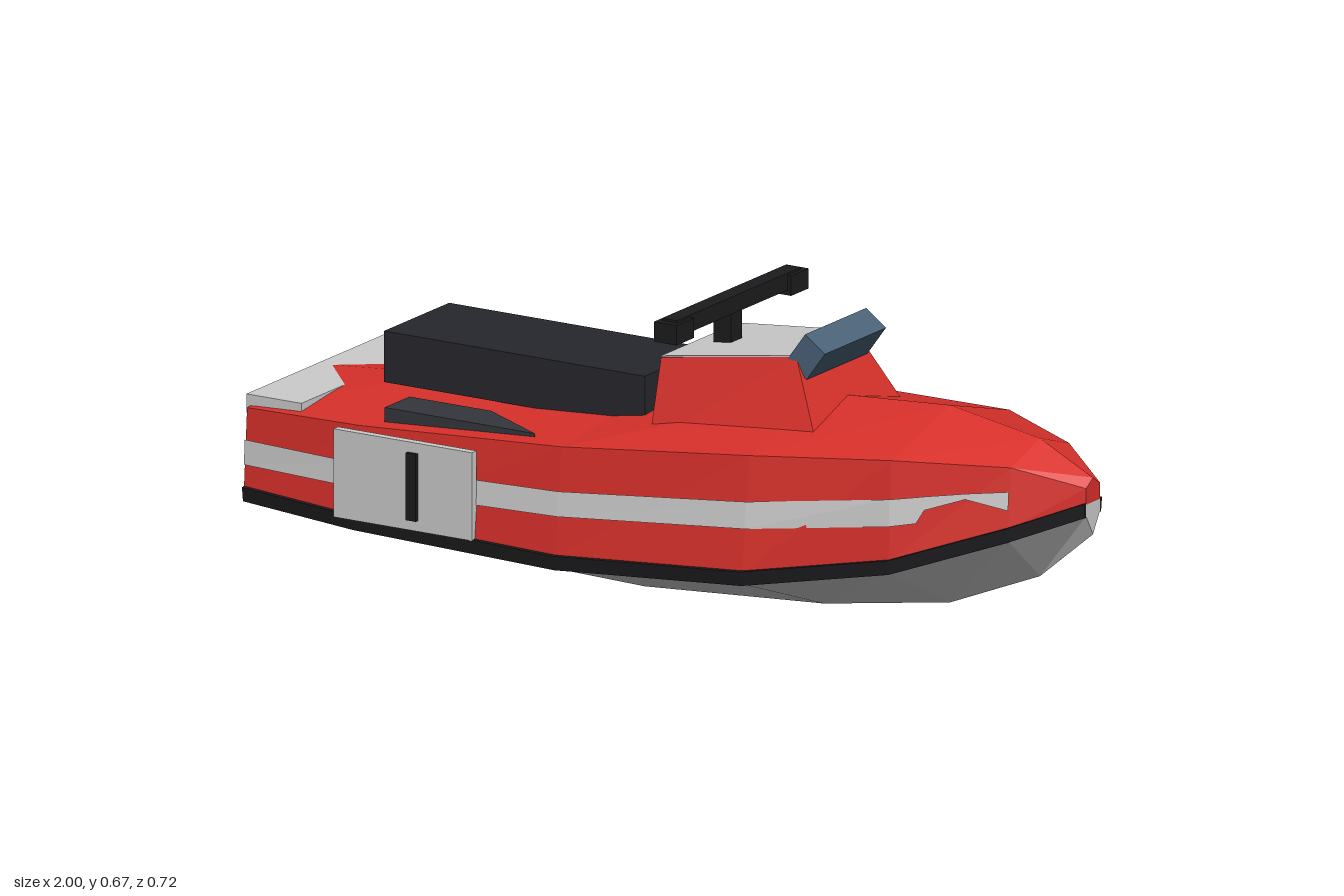
import * as THREE from 'three';

const paint = (color, extra = {}) => new THREE.MeshStandardMaterial({ color, flatShading: true, ...extra });
const GREY = paint(0xcccccc), RED = paint(0xd8302a), BLACK = paint(0x1c1c1e);
const SEAT = paint(0x26272d), GLASS = paint(0x4a6278), PATCH = paint(0x34363c);
const STRIPE = paint(0xcccccc, { side: THREE.DoubleSide });

// hull stations: x, keel y, chine y, chine half width, shoulder y, shoulder half width, deck ridge y
const STATIONS = [
  [-0.89, 0.06, 0.14, 0.305, 0.335, 0.293, 0.358],
  [-0.6, 0.025, 0.13, 0.337, 0.346, 0.315, 0.383],
  [-0.1, 0.0, 0.122, 0.347, 0.378, 0.322, 0.41],
  [0.34, 0.03, 0.148, 0.317, 0.418, 0.288, 0.485],
  [0.65, 0.08, 0.2, 0.238, 0.44, 0.228, 0.505],
  [0.87, 0.17, 0.275, 0.124, 0.43, 0.112, 0.467],
  [1.0, 0.28, 0.325, 0.027, 0.385, 0.027, 0.402],
];

// skin over rings of [x, y, z], each running clockwise as seen from +x
function loft(rings, closed = true) {
  const pos = [];
  const tri = (a, b, c) => pos.push(...a, ...b, ...c);
  const n = rings[0].length;
  for (let i = 0; i < rings.length - 1; i++) {
    for (let j = 0; j < (closed ? n : n - 1); j++) {
      const k = (j + 1) % n;
      const a = rings[i][j], b = rings[i][k], c = rings[i + 1][k], d = rings[i + 1][j];
      tri(a, d, c);
      tri(a, c, b);
    }
  }
  if (closed) {
    const s = rings[0], e = rings[rings.length - 1];
    for (let j = 1; j < n - 1; j++) {
      tri(s[0], s[j], s[j + 1]);
      tri(e[0], e[j + 1], e[j]);
    }
  }
  const g = new THREE.BufferGeometry();
  g.setAttribute('position', new THREE.Float32BufferAttribute(pos, 3));
  g.computeVertexNormals();
  return g;
}

// mirror rings across the centre plane, keeping their winding
const mirrored = (rings, s) =>
  s > 0 ? rings : rings.map(r => r.map(([x, y, z]) => [x, y, -z]).reverse());

// half width of the topside at a given x and height
function sideZ(x, y) {
  let i = 0;
  while (i < STATIONS.length - 2 && x > STATIONS[i + 1][0]) i++;
  const A = STATIONS[i], B = STATIONS[i + 1], t = (x - A[0]) / (B[0] - A[0]);
  const [cy, cz, sy, sz] = [2, 3, 4, 5].map(k => A[k] + (B[k] - A[k]) * t);
  return cz + (sz - cz) * (y - cy) / (sy - cy);
}

export function createModel() {
  const model = new THREE.Group();
  const add = (name, geo, mat, x = 0, y = 0, z = 0) => {
    const m = new THREE.Mesh(geo, mat);
    m.name = name;
    m.position.set(x, y, z);
    model.add(m);
    return m;
  };
  const box = (name, mat, x0, x1, y0, y1, z0, z1) =>
    add(name, new THREE.BoxGeometry(x1 - x0, y1 - y0, z1 - z0), mat, (x0 + x1) / 2, (y0 + y1) / 2, (z0 + z1) / 2);

  // V-shaped bottom and red upper hull with ridged deck
  add('lowerHull', loft(STATIONS.map(([x, ky, cy, cz]) =>
    [[x, ky, 0], [x, cy, cz], [x, cy + 0.025, cz], [x, cy + 0.025, -cz], [x, cy, -cz]])), GREY);
  add('upperHull', loft(STATIONS.map(([x, , cy, cz, sy, sz, dy]) =>
    [[x, cy + 0.025, cz], [x, sy, sz], [x, dy, 0], [x, sy, -sz], [x, cy + 0.025, -cz]])), RED);

  // stripe edges along the topside: x, bottom y, top y
  const plain = [[-0.89, 0.215, 0.268], [-0.6, 0.216, 0.268], [-0.1, 0.232, 0.285], [0.34, 0.265, 0.322], [0.65, 0.3, 0.358]];
  const notched = [[0.7, 0.308, 0.364], [0.715, 0.337, 0.366], [0.79, 0.362, 0.374], [0.87, 0.34, 0.38]];

  for (const s of [1, -1]) {
    const side = s > 0 ? 'left' : 'right';
    // rub rail along the chine
    add(side + 'RubRail', loft(mirrored(STATIONS.map(([x, , cy, cz]) =>
      [[x, cy - 0.003, cz + 0.004], [x, cy + 0.028, cz + 0.008], [x, cy + 0.03, cz - 0.012], [x, cy - 0.003, cz - 0.012]]), s)), BLACK);
    // side stripe, notched near the bow on one side only
    const edges = [...plain, ...(s > 0 ? notched : [[0.87, 0.34, 0.38]])];
    add(side + 'Stripe', loft(mirrored(edges.map(([x, lo, hi]) =>
      [lo, hi].map(y => [x, y, sideZ(x, y) + 0.005])), s), false), STRIPE);
    // side panel with its upright handle
    box(side + 'SidePanel', GREY, -0.64, -0.3, 0.152, 0.342, s * 0.344 - 0.009, s * 0.344 + 0.009);
    const hx = s > 0 ? -0.445 : -0.5;
    box(side + 'PanelHandle', BLACK, hx - 0.012, hx + 0.012, 0.175, 0.32, s * 0.356 - 0.006, s * 0.356 + 0.006);
    // tapered foot pad set into the deck
    const pad = s > 0 ? [[-0.56, 0.185], [-0.36, 0.185], [-0.19, 0.282], [-0.56, 0.282]]
      : [[-0.56, -0.29], [-0.16, -0.29], [-0.31, -0.185], [-0.56, -0.185]];
    const shape = new THREE.Shape(pad.map(([x, z]) => new THREE.Vector2(x, -z)));
    const padGeo = new THREE.ExtrudeGeometry(shape, { depth: 0.045, bevelEnabled: false }).rotateX(-Math.PI / 2);
    add(side + 'FootPad', padGeo, PATCH, 0, 0.338, 0);
    // handlebar grip
    box(side + 'Grip', BLACK, 0.085, 0.14, 0.617, 0.66, s * 0.222 - 0.034, s * 0.222 + 0.034);
  }

  // stern platform, pierced by the deck ridge
  box('sternPlatform', GREY, -0.9, -0.765, 0.32, 0.36, -0.28, 0.28);

  // seat
  box('seat', SEAT, -0.66, -0.02, 0.385, 0.495, -0.126, 0.126);

  // steering console and its top pad
  add('console', loft([
    [[0.035, 0.38, 0.195], [0.035, 0.55, 0.15], [0.035, 0.55, -0.15], [0.035, 0.38, -0.195]],
    [[0.425, 0.44, 0.17], [0.345, 0.59, 0.115], [0.345, 0.59, -0.115], [0.425, 0.44, -0.17]],
  ]), RED);
  add('consolePad', loft([
    [[0.034, 0.545, 0.149], [0.034, 0.553, 0.149], [0.034, 0.553, -0.149], [0.034, 0.545, -0.149]],
    [[0.34, 0.585, 0.115], [0.34, 0.592, 0.115], [0.34, 0.592, -0.115], [0.34, 0.585, -0.115]],
  ]), GREY);

  // tilted windscreen block
  add('windscreen', new THREE.BoxGeometry(0.077, 0.06, 0.236), GLASS, 0.37, 0.594, 0).rotation.z = 0.94;

  // steering post and handlebar
  box('steeringPost', BLACK, 0.082, 0.125, 0.54, 0.64, -0.021, 0.021);
  box('handlebar', BLACK, 0.094, 0.131, 0.628, 0.665, -0.24, 0.24);

  // octagonal jet nozzle
  add('jetNozzle', new THREE.CylinderGeometry(0.064, 0.064, 0.13, 8).rotateY(Math.PI / 8).rotateZ(Math.PI / 2), BLACK, -0.935, 0.095, 0);

  return model;
}
